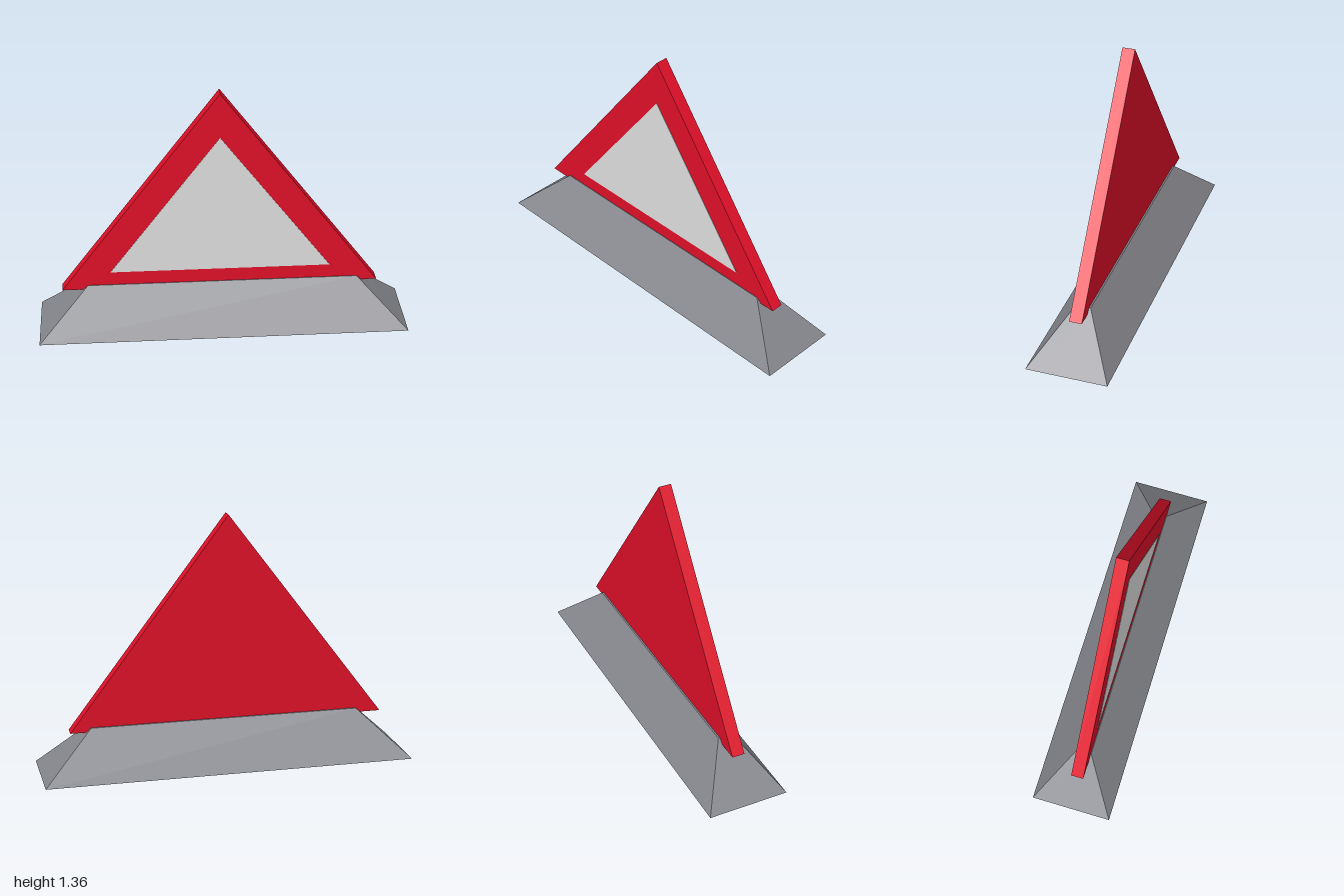
import * as THREE from 'three';

const red = new THREE.MeshStandardMaterial({ name: 'red', color: 0xdf1028 });
const silver = new THREE.MeshStandardMaterial({ name: 'pale grey', color: 0xdedede });
const grey = new THREE.MeshStandardMaterial({ name: 'base grey', color: 0x85868c });

function triangle(left, right, bottom, apexX, apexY) {
  return new THREE.Shape([
    new THREE.Vector2(left, bottom),
    new THREE.Vector2(right, bottom),
    new THREE.Vector2(apexX, apexY),
  ]);
}

function addMesh(group, name, geometry, material) {
  const mesh = new THREE.Mesh(geometry, material);
  mesh.name = name;
  group.add(mesh);
  return mesh;
}

export function createModel() {
  const group = new THREE.Group();
  group.name = 'warningTriangle';

  // Base: a box whose top is drawn in to a narrow ridge
  const height = 0.253;
  const base = new THREE.BoxGeometry(2, height, 0.44);
  base.translate(0, height / 2, 0);
  const pos = base.attributes.position;
  for (let i = 0; i < pos.count; i++) {
    if (pos.getY(i) > 0.1) {
      pos.setX(i, Math.sign(pos.getX(i)) * 0.731);
      pos.setZ(i, Math.sign(pos.getZ(i)) * 0.04);
    }
  }
  base.computeVertexNormals();
  addMesh(group, 'base', base, grey);

  // Upright triangular slab, set slightly off centre
  const depth = 0.068;
  const slab = new THREE.ExtrudeGeometry(
    triangle(-0.87, 0.84, 0.228, -0.015, 1.36), { depth, bevelEnabled: false });
  addMesh(group, 'triangleSlab', slab, red).position.z = -0.031;

  // Pale panel laid on the front face
  const panel = new THREE.ExtrudeGeometry(
    triangle(-0.607, 0.58, 0.33, -0.015, 1.113), { depth: 0.002, bevelEnabled: false });
  addMesh(group, 'frontPanel', panel, silver).position.z = -0.031 + depth;

  return group;
}
